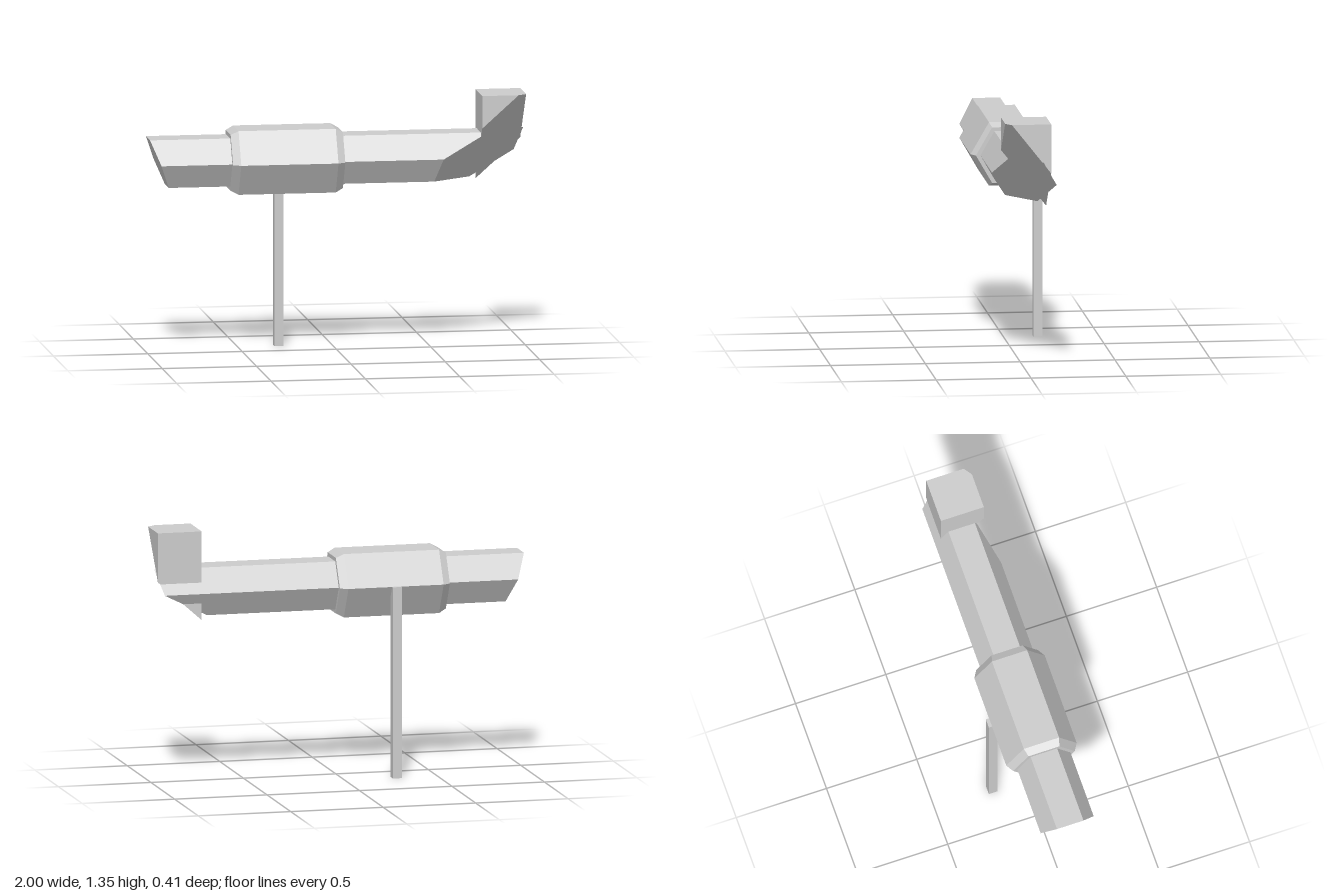
import * as THREE from 'three';
import { ConvexGeometry } from 'three/addons/geometries/ConvexGeometry.js';

const CY = 1.017, CZ = 0.007; // axis of the bar

// Slanted cutting plane shared by the bar's end and the upright block
const cutX = (y, z) => 0.507 + 1.12 * (y - 0.89) - 1.415 * (z - 0.08);
const cutY = (x, z) => 0.89 + (x - 0.507 + 1.415 * (z - 0.08)) / 1.12;
const cutZ = (x, y) => 0.08 + (0.507 + 1.12 * (y - 0.89) - x) / 1.415;

// Six corners around the axis; xAt gives the x position of each corner
function hexRing(radius, xAt) {
  const points = [];
  for (let i = 0; i < 6; i++) {
    const a = (i * Math.PI) / 3;
    const y = CY + radius * Math.sin(a), z = CZ + radius * Math.cos(a);
    points.push(new THREE.Vector3(xAt(y, z), y, z));
  }
  return points;
}

export function createModel() {
  const group = new THREE.Group();
  const grey = new THREE.MeshStandardMaterial({ color: 0xcccccc });
  grey.name = 'light grey';

  const add = (name, geometry) => {
    const mesh = new THREE.Mesh(geometry, grey);
    mesh.name = name;
    group.add(mesh);
    return mesh;
  };

  // Hexagonal bar, both ends cut at a slant
  add('bar', new ConvexGeometry([
    ...hexRing(0.147, (y) => -1 + 0.39 * (1.144 - y)),
    ...hexRing(0.147, cutX),
  ]));

  // Thicker sleeve with bevelled ends
  const sleeve = [[-0.575, 0.171], [-0.535, 0.195], [-0.02, 0.195], [0.02, 0.171]];
  add('sleeve', new ConvexGeometry(sleeve.flatMap(([x, r]) => hexRing(r, () => x))));

  // Upright block, its underside sliced by the cutting plane
  const x0 = 0.753, x1 = 0.99, z0 = -0.108, z1 = 0.13, top = 1.345;
  add('uprightBlock', new ConvexGeometry([
    [x0, top, z0], [x1, top, z0], [x0, top, z1],
    [cutX(top, z1), top, z1], [x1, top, cutZ(x1, top)],
    [x0, cutY(x0, z0), z0], [x0, cutY(x0, z1), z1], [x1, cutY(x1, z0), z0],
  ].map((p) => new THREE.Vector3(...p))));

  // Thin square post behind the sleeve
  add('post', new THREE.BoxGeometry(0.049, 1.018, 0.049)).position.set(-0.281, 0.509, -0.181);

  return group;
}
